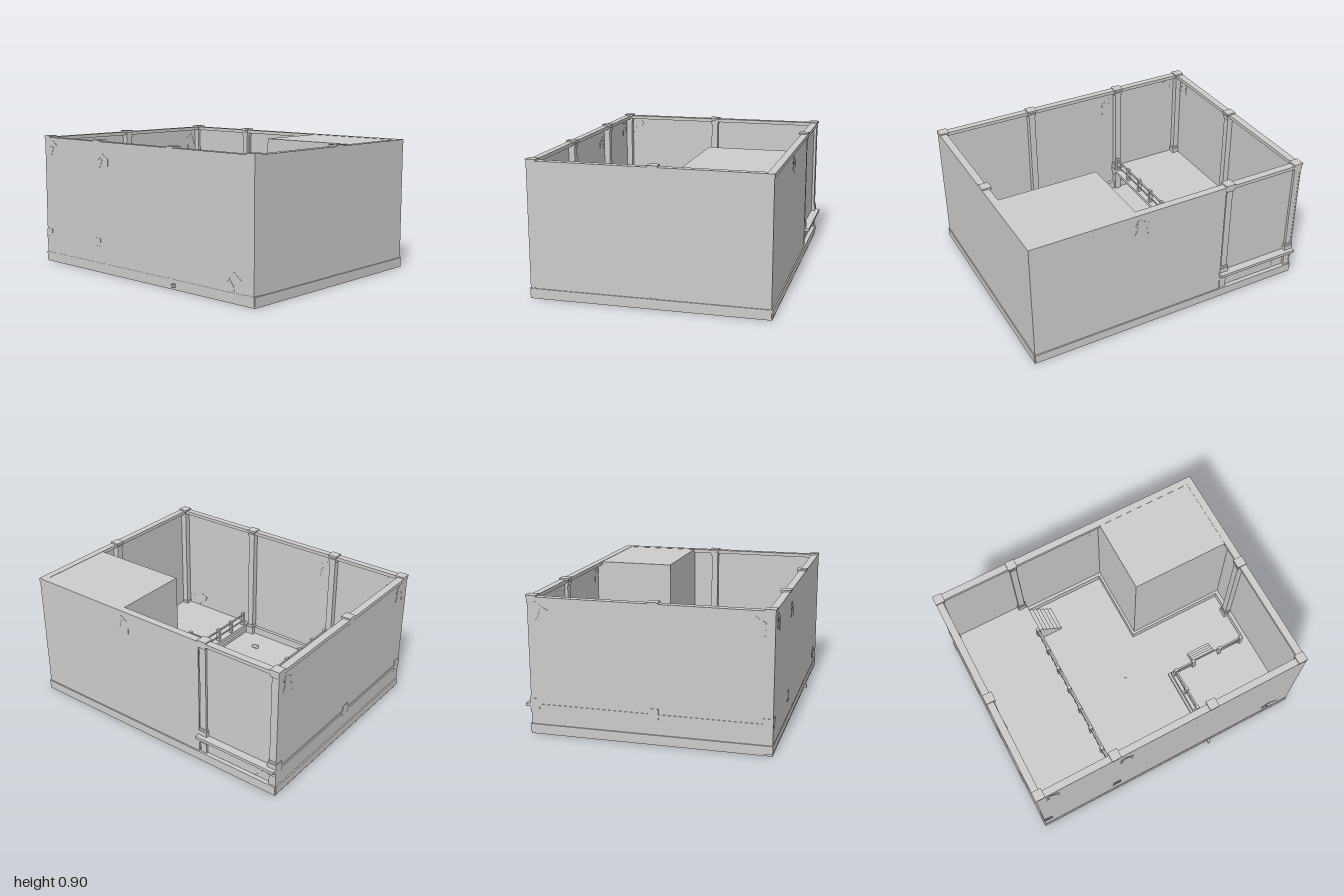
import * as THREE from 'three';

export function createModel() {
  const root = new THREE.Group();
  const mat = new THREE.MeshStandardMaterial({ color: 0xcccccc, flatShading: true, side: THREE.DoubleSide });

  const group = (name, parent = root) => {
    const g = new THREE.Group();
    g.name = name;
    parent.add(g);
    return g;
  };
  // Box given by its two extreme corners
  const box = (name, x0, x1, y0, y1, z0, z1, parent = root) => {
    const m = new THREE.Mesh(new THREE.BoxGeometry(x1 - x0, y1 - y0, z1 - z0), mat);
    m.position.set((x0 + x1) / 2, (y0 + y1) / 2, (z0 + z1) / 2);
    m.name = name;
    parent.add(m);
    return m;
  };

  // Floor and thin outer walls; the rear bay of the +x wall is set back
  box('floor', -0.78, 0.77, 0, 0.012, -0.99, 0.985);
  const walls = group('walls');
  box('leftWall', -0.78, -0.77, 0.01, 0.885, -0.985, 0.98, walls);
  box('rightWall', 0.755, 0.765, 0.01, 0.885, -0.395, 0.98, walls);
  box('recessedWall', 0.735, 0.745, 0.01, 0.885, -0.985, -0.395, walls);
  box('backWall', -0.78, 0.765, 0.01, 0.885, -0.988, -0.978, walls);
  box('frontWall', -0.78, 0.765, 0.01, 0.885, 0.97, 0.98, walls);

  // Beams along the wall tops and skirting along the wall feet
  const ring = (name, y0, y1, d, out) => {
    const g = group(name);
    box('leftRun', -0.78 - out * 0.3, -0.78 + d, y0, y1, -0.99, 0.98, g);
    box('rightRun', 0.767 - d, 0.767 + out, y0, y1, -0.99, 0.98, g);
    box('backRun', -0.78, 0.767, y0, y1, -0.99 - out, -0.99 + d, g);
    box('frontRun', -0.78, 0.767, y0, y1, 0.98 - d, 0.98 + out, g);
  };
  ring('topBeams', 0.866, 0.89, 0.047, 0.002);
  ring('skirting', 0.012, 0.066, 0.035, 0.007);

  // Raised rear floor, its edge showing beyond the right wall
  box('galleryFloor', -0.78, 0.8, 0.18, 0.2, -0.992, -0.388);

  // Pillars with square bases and capitals
  const pillar = (x, z, raised) => {
    const g = group('pillar');
    const block = (name, half, y0, y1) => box(name, x - half, x + half, y0, y1, z - half, z + half, g);
    block('shaft', 0.023, 0.012, 0.88);
    block('capital', 0.029, 0.85, 0.872);
    block('capSlab', 0.033, 0.885, 0.9);
    if (raised) {
      block('lowerCapital', 0.029, 0.14, 0.165);
      block('lowerCapSlab', 0.032, 0.165, 0.18);
      block('base', 0.032, 0.2, 0.235);
      block('baseTrim', 0.028, 0.235, 0.25);
    } else {
      block('base', 0.032, 0.012, 0.07);
      block('baseTrim', 0.028, 0.07, 0.09);
    }
  };
  for (const [x, z] of [[-0.75, -0.96], [-0.04, -0.96], [0.74, -0.96], [-0.75, -0.425], [0.738, -0.425]]) pillar(x, z, true);
  for (const [x, z] of [[-0.75, 0.285], [-0.75, 0.95], [0.03, 0.95]]) pillar(x, z, false);

  // Full-height corner block with its own skirting
  box('cornerBlock', 0.2, 0.757, 0.012, 0.888, 0.245, 0.972);
  box('cornerBlockSkirting', 0.182, 0.757, 0.012, 0.066, 0.227, 0.972);

  // Low platform in the front left corner with an edge trim
  box('platform', -0.77, -0.22, 0.012, 0.07, 0.33, 0.97);
  box('platformTrim', -0.805, -0.207, 0.018, 0.04, 0.313, 0.33);
  box('platformSideTrim', -0.22, -0.207, 0.018, 0.04, 0.33, 0.92);

  // Railings: square posts under a handrail, along x or along z
  const railing = (name, y, posts, [ax, az], [bx, bz]) => {
    const g = group(name);
    const h = 0.006;
    box('handrail', Math.min(ax, bx) - h, Math.max(ax, bx) + h, y + 0.08, y + 0.09,
      Math.min(az, bz) - h, Math.max(az, bz) + h, g);
    box('lowerRail', Math.min(ax, bx) - 0.004, Math.max(ax, bx) + 0.004, y + 0.03, y + 0.038,
      Math.min(az, bz) - 0.004, Math.max(az, bz) + 0.004, g);
    for (let i = 0; i < posts; i++) {
      const t = i / (posts - 1);
      const x = ax + (bx - ax) * t, z = az + (bz - az) * t;
      box('post', x - 0.012, x + 0.012, y, y + 0.1, z - 0.012, z + 0.012, g);
    }
  };
  railing('galleryRailing', 0.2, 8, [-0.7, -0.412], [0.465, -0.412]);
  railing('platformBackRailing', 0.07, 4, [-0.72, 0.352], [-0.245, 0.352]);
  railing('platformSideRailingA', 0.07, 2, [-0.245, 0.352], [-0.245, 0.5]);
  railing('platformSideRailingB', 0.07, 2, [-0.245, 0.72], [-0.245, 0.9]);

  // Stairs up to the gallery and to the platform
  const galleryStairs = group('galleryStairs');
  for (let i = 0; i < 6; i++) {
    box('step', 0.5, 0.68, 0.012, 0.04 + i * 0.028, -0.22 - (i + 1) * 0.028, -0.22 - i * 0.028, galleryStairs);
  }
  const platformStairs = group('platformStairs');
  for (let i = 0; i < 4; i++) {
    box('step', -0.13 - (i + 1) * 0.02, -0.13 - i * 0.02, 0.012, 0.025 + i * 0.014, 0.52, 0.7, platformStairs);
  }

  // Small items on the floor
  const marker = new THREE.Mesh(new THREE.CylinderGeometry(0.012, 0.012, 0.01, 16), mat);
  marker.name = 'floorDisc';
  marker.position.set(-0.07, 0.017, 0.03);
  root.add(marker);
  const plate = new THREE.Mesh(new THREE.CapsuleGeometry(0.016, 0.025, 4, 10), mat);
  plate.name = 'floorItem';
  plate.rotation.x = Math.PI / 2;
  plate.position.set(-0.57, 0.02, 0.12);
  root.add(plate);

  // Forked cracks: thin flat slabs passing through the walls
  const outline = [[-0.05, 0.02], [-0.03, 0.055], [-0.015, 0.065], [0.012, 0.045], [0.045, 0.03], [0.04, -0.06],
    [0.033, -0.005], [0.01, 0.02], [-0.012, 0.035], [-0.028, -0.02], [-0.05, -0.04], [-0.035, -0.01], [-0.03, 0.035]];
  const crackShape = new THREE.Shape(outline.map(([x, y]) => new THREE.Vector2(x, y)));
  const crackGeo = new THREE.ExtrudeGeometry(crackShape, { depth: 0.014, bevelEnabled: false });
  crackGeo.translate(0, 0, -0.007);
  const crack = (x, y, z, turn, tilt = 0) => {
    const m = new THREE.Mesh(crackGeo, mat);
    m.name = 'wallCrack';
    m.position.set(x, y, z);
    m.rotation.set(0, turn, tilt);
    root.add(m);
  };
  const q = Math.PI / 2;
  crack(0.76, 0.79, 0.22, q);
  crack(0.74, 0.12, -0.83, q, -1);
  crack(-0.775, 0.75, -0.35, -q);
  crack(-0.775, 0.8, -0.88, -q);
  crack(-0.775, 0.14, 0.82, -q, 1);
  crack(-0.68, 0.79, -0.983, Math.PI);
  crack(0.67, 0.78, -0.983, Math.PI);

  return root;
}
